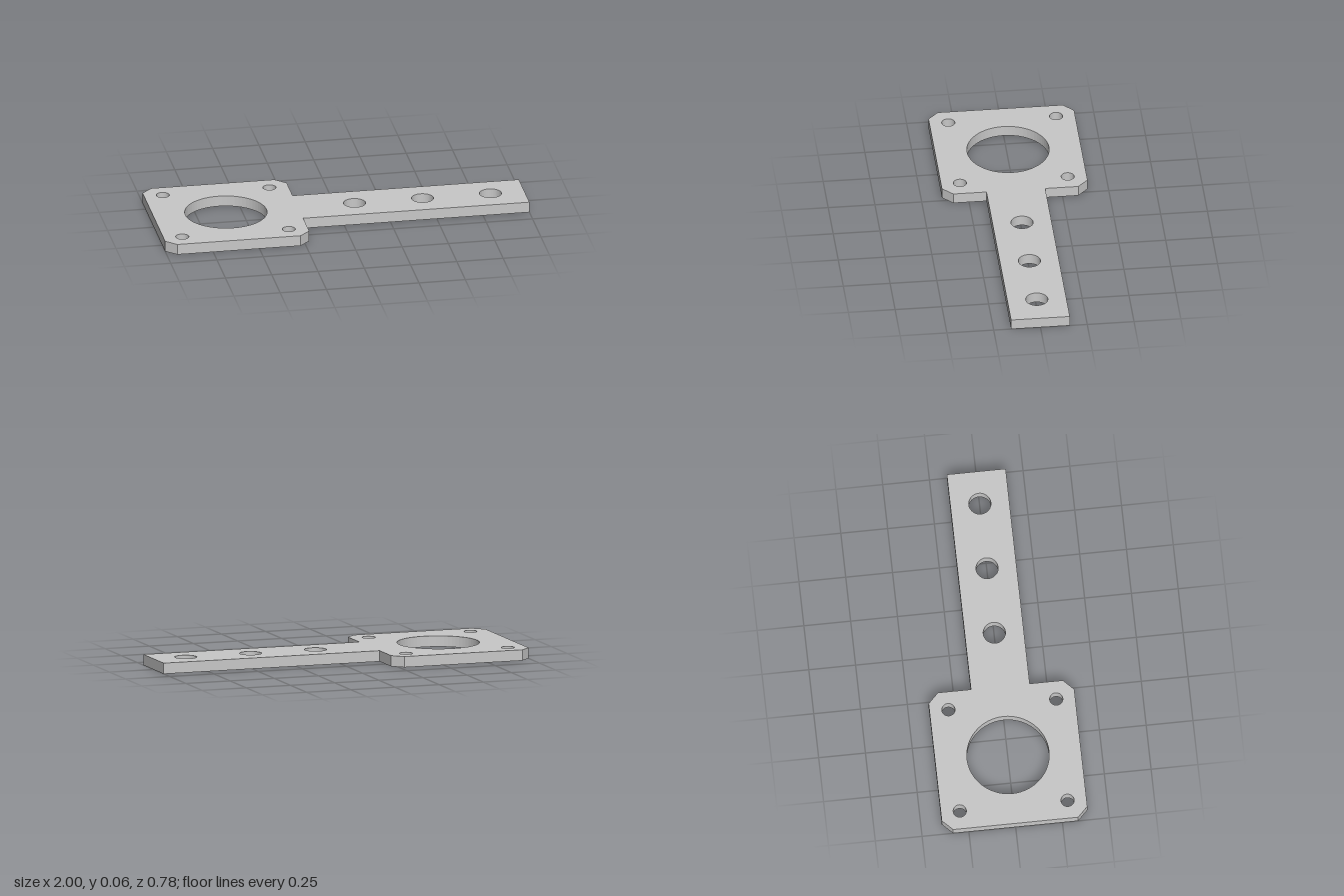
import * as THREE from 'three';

export function createModel() {
  const group = new THREE.Group();
  group.name = 'mountingBracket';
  const greyMetal = new THREE.MeshStandardMaterial({ color: 0xc8c8c8 });
  greyMetal.name = 'greyMetal';

  // Half outline: chamfered square plate, then the narrow arm
  const half = [[-1, 0.334], [-0.944, 0.389], [-0.278, 0.389],
    [-0.222, 0.334], [-0.222, 0.157], [1, 0.157]];

  // Trace the front edge towards the arm tip, then the back edge home
  const front = half.map(([x, z]) => new THREE.Vector2(x, -z));
  const back = half.map(([x, z]) => new THREE.Vector2(x, z)).reverse();
  const outline = new THREE.Shape([...front, ...back]);
  outline.closePath();

  const addHole = (x, z, radius) =>
    outline.holes.push(new THREE.Path().absarc(x, z, radius, 0, Math.PI * 2, true));

  // Large bore with four screw holes around it
  const boreX = -0.611;
  addHole(boreX, 0, 0.219);
  for (const sx of [-1, 1])
    for (const sz of [-1, 1]) addHole(boreX + sx * 0.288, sz * 0.288, 0.035);

  // Row of holes along the arm
  for (const x of [0.084, 0.451, 0.818]) addHole(x, 0, 0.059);

  const geometry = new THREE.ExtrudeGeometry(outline, {
    depth: 0.058, bevelEnabled: false, curveSegments: 32,
  });
  geometry.rotateX(-Math.PI / 2);

  const plate = new THREE.Mesh(geometry, greyMetal);
  plate.name = 'bracketPlate';
  group.add(plate);
  return group;
}
